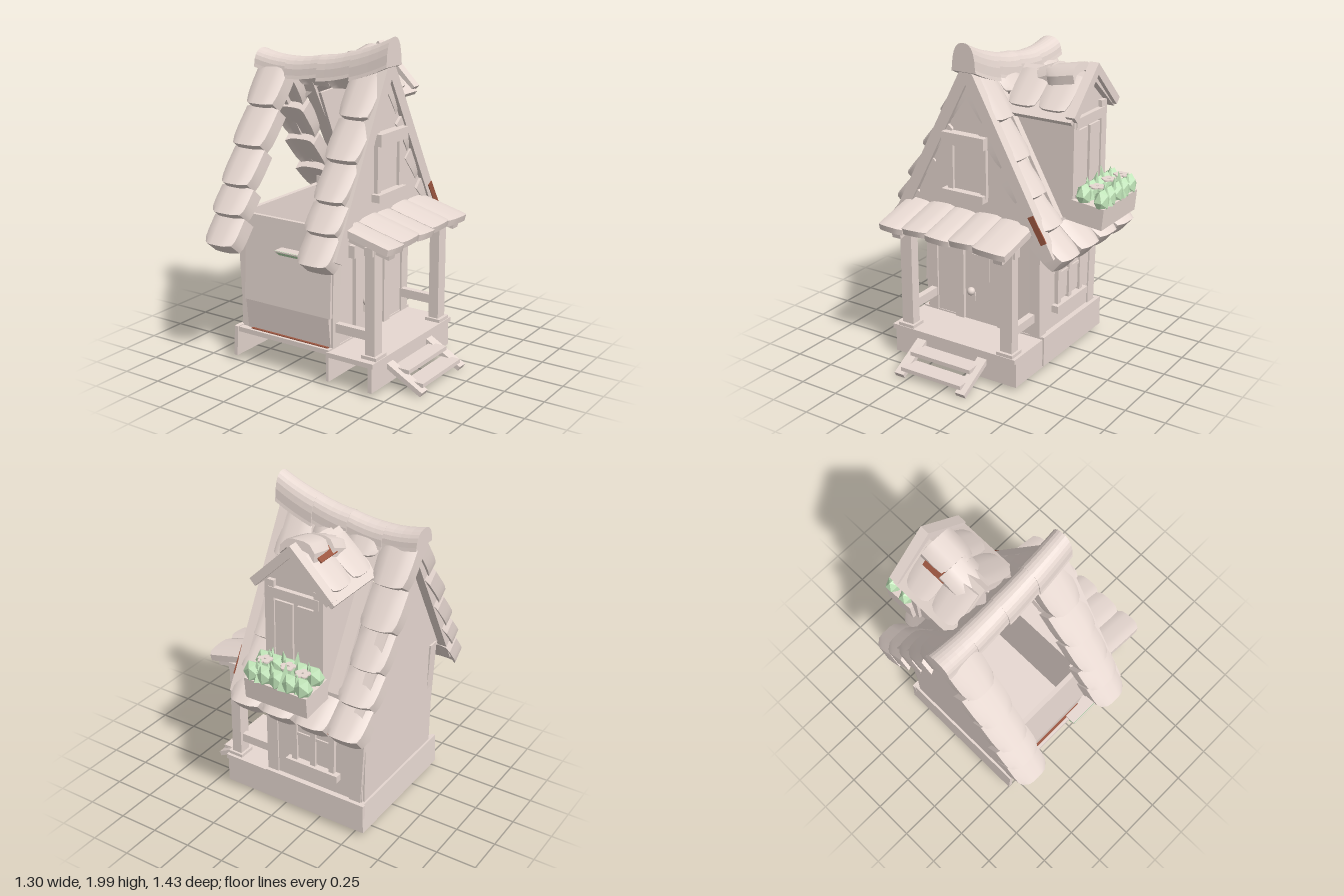
import * as THREE from 'three';

const mat = (name, color) => Object.assign(new THREE.MeshStandardMaterial({ color }), { name });
const V = (x, y, z) => new THREE.Vector3(x, y, z);

export function createModel() {
  const clay = mat('pale clay', 0xe9dad3);
  const claySheet = mat('pale clay sheet', 0xe9dad3);
  claySheet.side = THREE.DoubleSide;
  const rust = mat('rust board', 0x9c5640);
  const leaf = mat('leaf green', 0xcaf0c2);
  const root = new THREE.Group();
  root.name = 'cottage';

  const group = (name) => {
    const g = new THREE.Group();
    g.name = name;
    root.add(g);
    return g;
  };
  const add = (parent, name, geo, m = clay) => {
    const mesh = new THREE.Mesh(geo, m);
    mesh.name = name;
    parent.add(mesh);
    return mesh;
  };
  // Box given by its limits on each axis
  const box = (parent, name, x0, x1, y0, y1, z0, z1, m = clay) => {
    const mesh = add(parent, name, new THREE.BoxGeometry(x1 - x0, y1 - y0, z1 - z0), m);
    mesh.position.set((x0 + x1) / 2, (y0 + y1) / 2, (z0 + z1) / 2);
    return mesh;
  };
  // Places a mesh so its z runs from p0 to p1 and its x along `across`
  const aim = (mesh, p0, p1, across, sink) => {
    const Z = p1.clone().sub(p0).normalize();
    const Y = Z.clone().cross(across).normalize();
    mesh.quaternion.setFromRotationMatrix(new THREE.Matrix4().makeBasis(across, Y, Z));
    mesh.position.copy(p0).add(p1).multiplyScalar(0.5).addScaledVector(Y, -sink);
    return mesh;
  };
  const plank = (parent, name, p0, p1, across, w, t, m = clay) =>
    aim(add(parent, name, new THREE.BoxGeometry(w, t, p0.distanceTo(p1)), m), p0, p1, across, t / 2);
  // Roof tile whose top runs from p0 down to p1: drooping sides, narrowed lower end
  const tile = (parent, name, p0, p1, across, w, t, sag = 0.025, taper = 0.15) => {
    const l = p0.distanceTo(p1);
    const geo = new THREE.BoxGeometry(w, t, l, 6, 1, 4);
    const p = geo.attributes.position;
    for (let i = 0; i < p.count; i++) {
      const u = p.getX(i) / (w / 2), v = p.getZ(i) / (l / 2);
      p.setX(i, p.getX(i) * (1 - taper * Math.max(0, v) ** 2));
      p.setY(i, p.getY(i) - sag * u ** 4);
      p.setZ(i, p.getZ(i) - (v > 0.9 ? 0.02 * u ** 4 : 0));
    }
    geo.computeVertexNormals();
    return aim(add(parent, name, geo), p0, p1, across, t / 2);
  };
  // Flat panel drawn in (z, y), its outer face at x
  const sidePanel = (parent, name, pts, x, depth) => {
    const shape = new THREE.Shape(pts.map(([z, y]) => new THREE.Vector2(z, y)));
    const geo = depth ? new THREE.ExtrudeGeometry(shape, { depth, bevelEnabled: false }) : new THREE.ShapeGeometry(shape);
    const mesh = add(parent, name, geo);
    mesh.rotation.y = -Math.PI / 2;
    mesh.position.x = x;
    return mesh;
  };
  const X = V(1, 0, 0), XN = V(-1, 0, 0), ZN = V(0, 0, -1);

  // Foundation: floors, side and back skirts, open toward the front
  const base = group('foundation');
  box(base, 'backSkirt', -0.57, 0.12, 0.05, 0.24, -0.38, -0.355);
  box(base, 'sideSkirt', -0.57, -0.545, 0.05, 0.24, -0.38, 0.51).rotation.z = -0.06;
  box(base, 'dividingSkirt', 0.1, 0.12, 0.04, 0.2, -0.37, 0.5);
  box(base, 'houseFloor', -0.56, 0.12, 0.205, 0.235, -0.36, 0.5);
  box(base, 'porchBackSkirt', 0.12, 0.41, 0.04, 0.2, -0.37, -0.345);
  box(base, 'porchSideSkirt', 0.39, 0.415, 0.04, 0.2, -0.37, 0.5);
  box(base, 'porchFloor', 0.11, 0.43, 0.195, 0.225, -0.37, 0.51);

  // Walls; the front one bulges a little
  const walls = group('walls');
  plank(walls, 'frontWallTop', V(-0.19, 0.95, 0.455), V(-0.19, 0.42, 0.485), X, 0.62, 0.03);
  plank(walls, 'frontWallFoot', V(-0.19, 0.42, 0.485), V(-0.19, 0.23, 0.465), X, 0.6, 0.03);
  box(walls, 'footStrip', -0.46, 0.1, 0.233, 0.24, 0.46, 0.482, rust);
  box(walls, 'backWall', -0.54, 0.11, 0.23, 1.0, -0.34, -0.31);
  box(walls, 'doorWall', 0.08, 0.115, 0.23, 0.95, -0.33, 0.45);
  box(walls, 'plainWall', -0.55, -0.52, 0.23, 0.95, -0.33, 0.45);
  sidePanel(walls, 'plainGable', [[0.57, 0.93], [-0.44, 0.93], [0.07, 1.82]].reverse(), -0.551, 0);
  for (const z of [0.425, -0.315])
    for (const [x, lean] of [[-0.51, 0.04], [0.09, -0.01]])
      box(walls, 'cornerPost', x - 0.038, x + 0.038, 0.23, 0.95, z - 0.035, z + 0.035).rotation.z = lean;

  // Gable over the porch with its window
  const gable = group('porchGable');
  sidePanel(gable, 'gableWall', [[-0.43, 0.92], [0.56, 0.92], [0.07, 1.8]], 0.235, 0.03);
  box(gable, 'gableSoffit', 0.1, 0.23, 0.92, 0.95, -0.36, 0.48);
  box(gable, 'windowPane', 0.235, 0.242, 1.12, 1.4, -0.04, 0.18);
  for (const z of [-0.045, 0.185]) box(gable, 'windowJamb', 0.235, 0.26, 1.1, 1.41, z - 0.018, z + 0.018);
  box(gable, 'windowHeader', 0.235, 0.295, 1.4, 1.47, -0.07, 0.22);
  box(gable, 'windowSill', 0.235, 0.29, 1.075, 1.12, -0.06, 0.23);

  // Roof edge boards and linings beneath the tiles
  const boards = group('roofBoards');
  for (const [x, y] of [[-0.575, 1.79], [0.235, 1.87]]) {
    plank(boards, 'frontBargeBoard', V(x, y, 0.09), V(x, 0.83, 0.63), X, 0.06, 0.07);
    plank(boards, 'backBargeBoard', V(x, y, 0.05), V(x, 0.83, -0.52), XN, 0.06, 0.07);
  }
  for (const [x, w] of [[-0.37, 0.3], [-0.02, 0.1]])
    plank(boards, 'eaveLining', V(x, 0.885, -0.375), V(x, 0.765, -0.51), XN, w, 0.008, rust);
  plank(boards, 'bargeRustEdge', V(0.266, 1.07, -0.385), V(0.266, 0.92, -0.475), XN, 0.008, 0.04, rust);
  for (const [x, w] of [[-0.385, 0.08], [0.015, 0.05]])
    plank(boards, 'backRoofLining', V(x, 1.77, 0.02), V(x, 0.98, -0.42), XN, w, 0.02);
  box(boards, 'looseEaveBoard', -0.15, 0.05, 0.82, 0.828, 0.57, 0.64);
  plank(boards, 'looseBoardUnderside', V(-0.05, 0.825, 0.64), V(-0.05, 0.79, 0.6), X, 0.2, 0.006, leaf);

  // Main roof tiles: edge columns on both slopes, filler rows on the back
  const roof = group('roofTiles');
  const frontLine = [[0.12, 1.81], [0.3, 1.57], [0.43, 1.35], [0.55, 1.14], [0.63, 0.98], [0.71, 0.81]];
  const backLine = [[0.03, 1.81], [-0.14, 1.57], [-0.25, 1.35], [-0.36, 1.15], [-0.47, 0.98], [-0.59, 0.82]];
  const course = (line, i, s, x, w, name) => {
    const [z0, y0] = line[i], [z1, y1] = line[i + 1];
    const inset = i ? 0.045 : 0;
    tile(roof, name, V(x, y0 - inset * 0.4, z0 - s * inset), V(x, y1, z1), s > 0 ? X : XN, w, i === 4 ? 0.1 : 0.09);
  };
  for (let i = 0; i < 5; i++) {
    const w = 0.222 + 0.014 * (i % 2);
    for (const x of [-0.53, 0.135]) {
      course(frontLine, i, 1, x, w, 'frontTile');
      course(backLine, i, -1, x, w, 'backTile');
    }
  }
  for (const x of [-0.31, -0.09]) {
    course(backLine, 4, -1, x, 0.22, 'backMiddleTile');
    tile(roof, 'backUpperTile', V(x, 1.8, 0.02), V(x, 1.68, -0.07), XN, 0.22, 0.05);
  }

  // Ridge caps: half-round, upright ends, sheared to rise toward the porch
  const ridge = group('ridgeCaps');
  const rx = [-0.65, -0.43, -0.2, 0.03, 0.28], top = [1.865, 1.835, 1.86, 1.905, 2.0];
  for (let i = 0; i < 4; i++) {
    const len = rx[i + 1] - rx[i], h = 0.085 + 0.02 * i;
    const arch = new THREE.Shape();
    arch.moveTo(0.09, -h - 0.02);
    arch.lineTo(0.085, -h);
    arch.bezierCurveTo(0.08, -0.02, 0.04, 0, 0, 0);
    arch.bezierCurveTo(-0.04, 0, -0.08, -0.02, -0.085, -h);
    arch.lineTo(-0.09, -h - 0.02);
    const geo = new THREE.ExtrudeGeometry(arch, { depth: len, steps: 4, bevelEnabled: false, curveSegments: 6 });
    geo.rotateY(Math.PI / 2);
    const p = geo.attributes.position;
    for (let k = 0; k < p.count; k++) {
      const t = p.getX(k) / len;
      p.setY(k, p.getY(k) + top[i] + (top[i + 1] - top[i]) * t - 0.03 * t * (1 - t));
      p.setZ(k, p.getZ(k) * (1.02 - 0.1 * t));
    }
    geo.computeVertexNormals();
    add(ridge, 'ridgeCap', geo).position.set(rx[i], 0, 0.07);
  }

  // Dormer on the back slope
  const dormer = group('dormer');
  box(dormer, 'dormerWall', -0.35, 0.0, 1.0, 1.62, -0.47, -0.45);
  for (const x of [-0.335, -0.015]) {
    box(dormer, 'dormerPost', x - 0.03, x + 0.03, 0.98, 1.62, -0.495, -0.45);
    sidePanel(dormer, 'dormerCheek', [[-0.46, 0.98], [-0.38, 0.98], [-0.25, 1.2], [-0.07, 1.6], [-0.46, 1.62]].reverse(), x + 0.01, 0.02);
  }
  const peak = new THREE.Shape([[-0.4, 1.6], [0.04, 1.6], [-0.18, 1.82]].map(([x, y]) => new THREE.Vector2(x, y)));
  add(dormer, 'dormerPeak', new THREE.ShapeGeometry(peak), claySheet).position.z = -0.47;
  for (const x of [-0.265, -0.085]) box(dormer, 'dormerShutter', x - 0.075, x + 0.075, 1.14, 1.5, -0.485, -0.47);
  box(dormer, 'dormerSill', -0.34, -0.01, 1.08, 1.13, -0.51, -0.47);
  box(dormer, 'dormerLintel', -0.34, -0.01, 1.52, 1.58, -0.5, -0.47);
  box(dormer, 'innerLeafStrip', -0.3, -0.03, 1.07, 1.08, -0.45, -0.445, leaf);
  for (const s of [-1, 1]) {
    const along = V(0, 0, -s);
    const eave = (z) => V(-0.18 + s * 0.265, 1.585, z);
    plank(dormer, 'dormerRoofSlope', V(-0.18, 1.81, -0.28), eave(-0.28), along, 0.46, 0.03);
    plank(dormer, 'dormerBargeBoard', V(-0.18, 1.875, -0.505), eave(-0.505).add(V(0, 0.03, 0)), along, 0.06, 0.05);
    for (const z of [-0.16, -0.36])
      tile(dormer, 'dormerTile', V(-0.18 + s * 0.05, 1.8, z), V(-0.18 + s * 0.24, 1.63, z), along, 0.2, 0.035, 0.012);
  }
  plank(dormer, 'dormerRustStrip', V(-0.255, 1.8, -0.33), V(-0.3, 1.76, -0.33), V(0, 0, 1), 0.16, 0.008, rust);
  tile(dormer, 'dormerRidgeTile', V(-0.165, 1.865, -0.43), V(-0.165, 1.825, -0.23), X, 0.22, 0.05, 0.05);
  tile(dormer, 'dormerRidgeTile', V(-0.19, 1.84, -0.26), V(-0.19, 1.765, -0.07), X, 0.21, 0.05, 0.05);

  // Flower box: planter with two leafy rows and blossoms between them
  const flowers = group('flowerBox');
  plank(flowers, 'planter', V(-0.185, 1.11, -0.49), V(-0.185, 1.09, -0.7), XN, 0.41, 0.13);
  for (const [z, y] of [[-0.55, 1.1], [-0.665, 1.085]])
    for (let i = 0; i < 5; i++) {
      const h = 0.13 + 0.03 * ((i * 3) % 4) / 3, x = -0.35 + i * 0.083;
      const spike = add(flowers, 'leafSpike', new THREE.ConeGeometry(0.042, h, 4).toNonIndexed(), leaf);
      spike.geometry.computeVertexNormals();
      spike.position.set(x + 0.035 * (i < 4 ? 1 : -1), y + h / 2, z);
      spike.rotation.set(i % 2 ? 0.15 : -0.15, i, 0);
      const clump = add(flowers, 'leafClump', new THREE.IcosahedronGeometry(0.058, 0), leaf);
      clump.position.set(x, y + 0.04, z);
      clump.scale.set(1, 1.25, 0.8);
    }
  for (const [x, z] of [[-0.32, -0.625], [-0.21, -0.605], [-0.06, -0.61]])
    for (let k = 0; k < 5; k++)
      add(flowers, 'petal', new THREE.CylinderGeometry(0.02, 0.02, 0.008, 8))
        .position.set(x + 0.026 * Math.cos(k * 1.257), 1.19, z + 0.026 * Math.sin(k * 1.257));

  // Back window with shutters
  const win = group('backWindow');
  box(win, 'windowPanel', -0.33, -0.09, 0.4, 0.74, -0.35, -0.34);
  for (const x of [-0.34, -0.21, -0.08]) box(win, 'windowBar', x - 0.018, x + 0.018, 0.38, 0.76, -0.365, -0.34);
  box(win, 'windowCrossbar', -0.33, -0.09, 0.56, 0.58, -0.36, -0.34);
  box(win, 'windowLintel', -0.39, -0.03, 0.75, 0.81, -0.375, -0.34);
  box(win, 'windowSill', -0.39, -0.03, 0.34, 0.385, -0.385, -0.34);

  // Door
  const door = group('door');
  box(door, 'doorLeaf', 0.115, 0.125, 0.23, 0.73, -0.07, 0.18);
  box(door, 'doorPane', 0.125, 0.131, 0.51, 0.67, 0.0, 0.13);
  for (const z of [-0.09, 0.215]) box(door, 'doorJamb', 0.115, 0.14, 0.23, 0.75, z - 0.03, z + 0.03);
  box(door, 'doorHeader', 0.115, 0.155, 0.735, 0.81, -0.135, 0.285);
  box(door, 'knobPlate', 0.125, 0.132, 0.36, 0.42, 0.105, 0.145);
  add(door, 'doorKnob', new THREE.SphereGeometry(0.026, 12, 8)).position.set(0.14, 0.425, 0.13);

  // Porch posts, rails and roof
  const porch = group('porch');
  for (const z of [0.415, -0.295]) {
    box(porch, 'porchPost', 0.34, 0.405, 0.2, 0.88, z - 0.04, z + 0.04);
    box(porch, 'postFoot', 0.325, 0.425, 0.2, 0.245, z - 0.055, z + 0.055);
    box(porch, 'porchRail', 0.1, 0.34, 0.325, 0.38, z - 0.02, z + 0.02);
    plank(porch, 'porchRafter', V(0.11, 0.97, z), V(0.5, 0.88, z), ZN, 0.06, 0.05);
  }
  box(porch, 'porchBeam', 0.345, 0.4, 0.84, 0.89, -0.35, 0.47);
  const seams = [0.51, 0.35, 0.18, 0.02, -0.15, -0.36];
  for (let i = 0; i < 5; i++) {
    const z = (seams[i] + seams[i + 1]) / 2, lift = 0.008 * (i % 2);
    tile(porch, 'porchTile', V(0.19, 1.01 + lift, z), V(0.55 - lift, 0.92 + lift, z), ZN, seams[i] - seams[i + 1] + 0.012, 0.04, 0.012, 0.03)
      .rotateZ(i % 2 ? 0.05 : -0.05);
  }

  // Steps
  const steps = group('steps');
  for (const z of [0.305, -0.135]) plank(steps, 'stringer', V(0.4, 0.175, z), V(0.65, 0.04, z), ZN, 0.065, 0.03);
  box(steps, 'upperTread', 0.43, 0.54, 0.115, 0.14, -0.13, 0.3);
  box(steps, 'lowerTread', 0.52, 0.635, 0.055, 0.08, -0.13, 0.3);

  return root;
}
